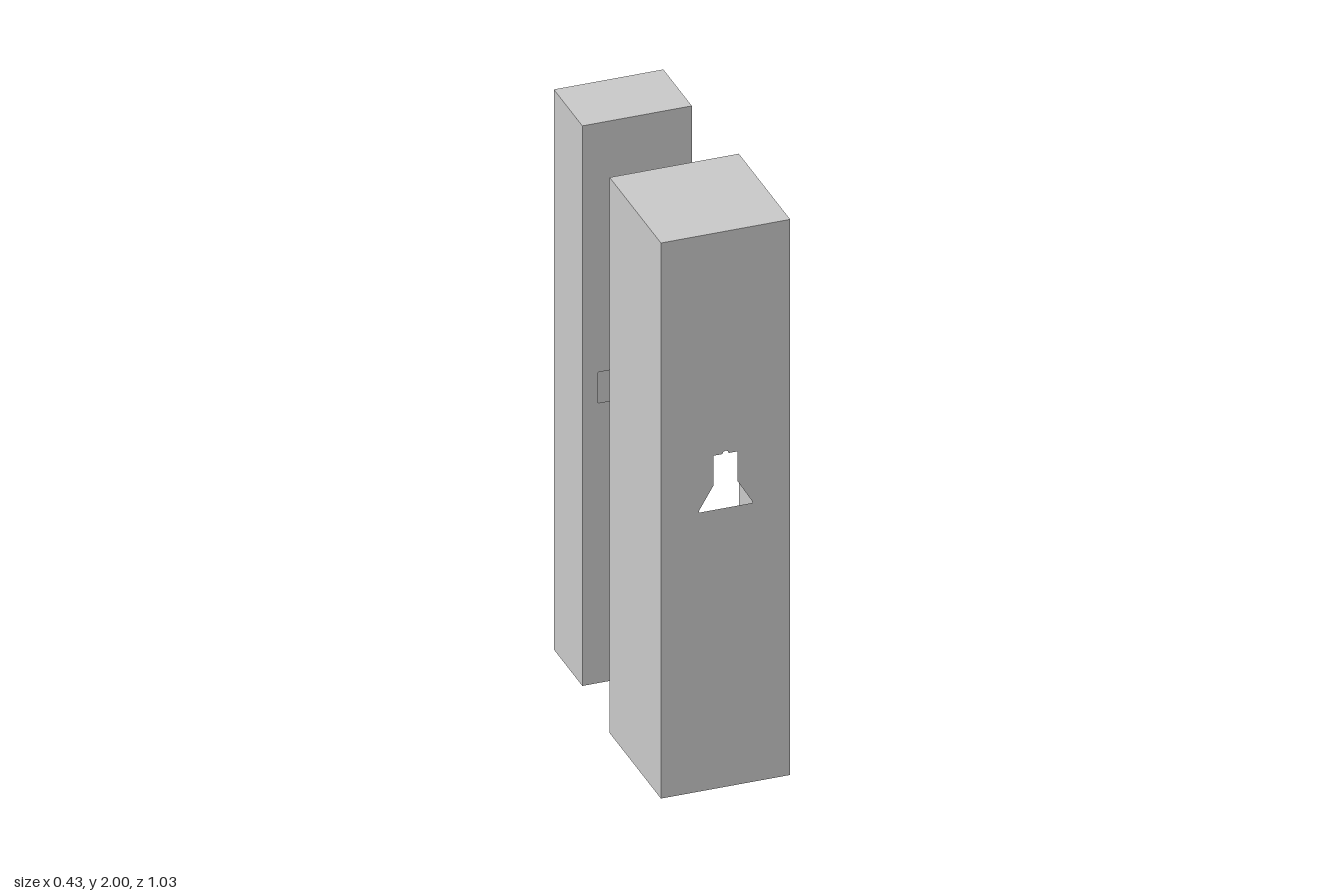
import * as THREE from 'three';

const material = new THREE.MeshStandardMaterial({ color: 0xcccccc, side: THREE.DoubleSide, flatShading: true });

// Thin flat panel centred on its origin, facing +z, with optional cut-outs
function panel(name, w, h, holes = []) {
  const s = new THREE.Shape();
  s.moveTo(-w / 2, -h / 2).lineTo(w / 2, -h / 2).lineTo(w / 2, h / 2).lineTo(-w / 2, h / 2).closePath();
  s.holes.push(...holes);
  const mesh = new THREE.Mesh(new THREE.ShapeGeometry(s, 6), material);
  mesh.name = name;
  return mesh;
}

// Thin-walled carton; front and back are lists of holes, or null where the carton is open
function carton(name, w, h, d, front, back) {
  const g = new THREE.Group();
  g.name = name;
  const add = (mesh, x, y, z, rx = 0, ry = 0) => {
    mesh.position.set(x, y, z);
    mesh.rotation.set(rx, ry, 0);
    g.add(mesh);
  };
  if (front) add(panel('frontPanel', w, h, front), 0, 0, d / 2);
  if (back) add(panel('backPanel', w, h, back), 0, 0, -d / 2, 0, Math.PI);
  for (const s of [1, -1]) {
    add(panel(s > 0 ? 'leftPanel' : 'rightPanel', d, h), s * w / 2, 0, 0, 0, s * Math.PI / 2);
    add(panel(s > 0 ? 'topPanel' : 'bottomPanel', w, d), 0, s * h / 2, 0, -s * Math.PI / 2);
  }
  return g;
}

// Bulb-like cut-out: flared foot, straight neck, small round nub on top
function lampHole() {
  const p = new THREE.Path();
  p.moveTo(-0.09, 0.004).lineTo(0.09, 0.004).lineTo(0.088, 0.012).lineTo(0.04, 0.092).lineTo(0.04, 0.198);
  p.lineTo(0.01, 0.198).absarc(0, 0.198, 0.01, 0, Math.PI, false);
  p.lineTo(-0.04, 0.198).lineTo(-0.04, 0.092).lineTo(-0.088, 0.012).closePath();
  return p;
}

// Rectangular window with slightly rounded corners
function windowHole(w, y0, y1, r) {
  const p = new THREE.Path(), x = w / 2;
  p.moveTo(-x + r, y0).lineTo(x - r, y0).quadraticCurveTo(x, y0, x, y0 + r);
  p.lineTo(x, y1 - r).quadraticCurveTo(x, y1, x - r, y1);
  p.lineTo(-x + r, y1).quadraticCurveTo(-x, y1, -x, y1 - r);
  p.lineTo(-x, y0 + r).quadraticCurveTo(-x, y0, -x + r, y0);
  return p;
}

export function createModel() {
  const model = new THREE.Group();
  model.name = 'packagingBox';

  // Outer sleeve, open at the back
  const sleeve = carton('outerSleeve', 0.432, 1.984, 0.454, [lampHole()], null);
  sleeve.position.set(0, 1, 0.29);

  // Closed inner box with a window through front and back
  const slot = () => windowHole(0.266, 0, 0.11, 0.008);
  const inner = carton('innerBox', 0.366, 2, 0.252, [slot()], [slot()]);
  inner.position.set(0, 1, -0.391);

  model.add(sleeve, inner);
  return model;
}
